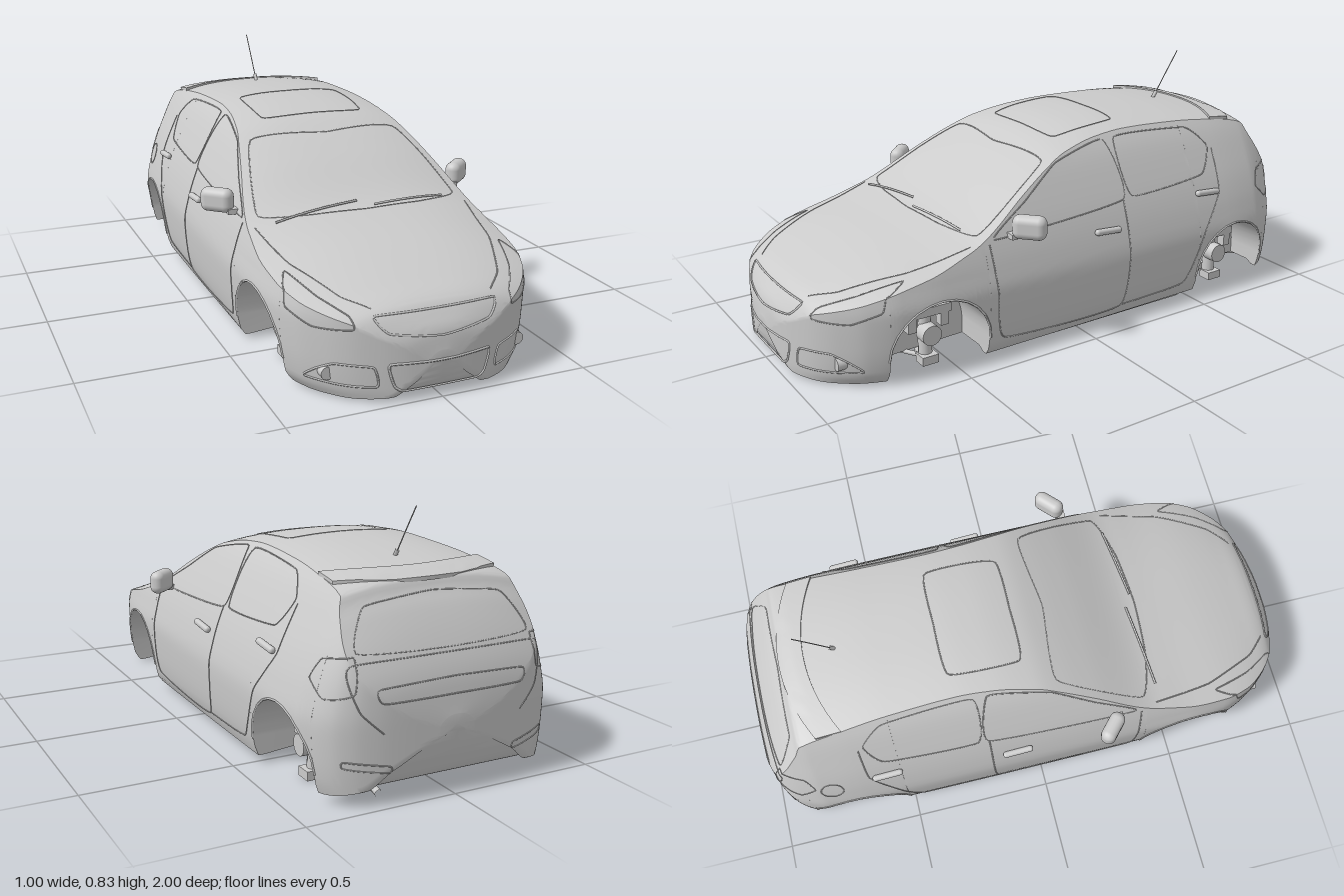
import * as THREE from 'three';
import { toCreasedNormals } from 'three/addons/utils/BufferGeometryUtils.js';
import { RoundedBoxGeometry } from 'three/addons/geometries/RoundedBoxGeometry.js';

const mat = new THREE.MeshStandardMaterial({ color: 0xcccccc });
const V = (x, y, z) => new THREE.Vector3(x, y, z);

// Monotone cubic through [t, value] pairs
function curve(pts) {
  const p = [...pts].sort((a, b) => a[0] - b[0]);
  const d = p.slice(1).map((q, i) => (q[1] - p[i][1]) / (q[0] - p[i][0]));
  const m = p.map((_, i) => i === 0 ? d[0] : i === d.length ? d[i - 1]
    : d[i - 1] * d[i] <= 0 ? 0 : 2 * d[i - 1] * d[i] / (d[i - 1] + d[i]));
  return (t) => {
    if (t <= p[0][0]) return p[0][1];
    if (t >= p[p.length - 1][0]) return p[p.length - 1][1];
    let i = 0;
    while (t > p[i + 1][0]) i++;
    const h = p[i + 1][0] - p[i][0], s = (t - p[i][0]) / h, s2 = s * s, s3 = s2 * s;
    return (2 * s3 - 3 * s2 + 1) * p[i][1] + (s3 - 2 * s2 + s) * h * m[i]
      + (3 * s2 - 2 * s3) * p[i + 1][1] + (s3 - s2) * h * m[i + 1];
  };
}

// Body rules: centreline height, underside, plan half-width, edge drop, and side taper by height
const top = curve([[1, .16], [.99, .215], [.97, .25], [.93, .295], [.85, .328], [.7, .375], [.5, .422], [.42, .445],
  [.2, .565], [.1, .615], [0, .655], [-.15, .683], [-.27, .69], [-.5, .682], [-.75, .655], [-.825, .638],
  [-.845, .605], [-.88, .56], [-.95, .44], [-.98, .365], [-1, .26]]);
const bottom = curve([[1, .12], [.99, .06], [.97, .02], [.9, .015], [.76, .015], [.38, .025], [-.5, .035],
  [-.88, .038], [-.96, .055], [-.985, .12], [-1, .2]]);
const plan = curve([[1, .05], [.99, .12], [.97, .19], [.93, .275], [.88, .335], [.8, .395], [.7, .43], [.55, .445],
  [0, .448], [-.65, .445], [-.8, .435], [-.87, .412], [-.92, .38], [-.955, .33], [-.98, .25], [-.99, .18], [-1, .06]]);
const drop = curve([[1, .03], [.9, .04], [.6, .05], [.45, .04], [.3, .035], [0, .025], [-.7, .025], [-.83, .03],
  [-.9, .045], [-1, .03]]);
const taper = curve([[.015, .9], [.05, .955], [.15, .99], [.25, 1], [.33, .965], [.42, .9], [.52, .8], [.62, .68],
  [.67, .59], [.7, .5]]);
const sideX = (z, y) => plan(z) * taper(y);
const edgeY = (z) => top(z) - drop(z);
const topY = (x, z) => {
  const s = Math.min(1, Math.abs(x) / sideX(z, edgeY(z)));
  return edgeY(z) + drop(z) * (1 - s ** 2.5);
};
const WHEELS = [.565, -.69], R = .175, HUB = .095;

// Closed cross-section at z: floor, wheel well, flank, roof, then mirrored
function section(z) {
  const wheel = WHEELS.find((c) => Math.abs(z - c) < R);
  const b = bottom(z), floor = b + .014;
  const low = wheel === undefined ? b : HUB + Math.sqrt(R * R - (z - wheel) ** 2);
  const outer = sideX(z, low), inner = wheel === undefined ? Math.max(0, outer - .02) : .255;
  const half = [[0, floor], [inner, floor], [inner, low]];
  const e = edgeY(z), xe = sideX(z, e);
  for (let i = 0; i <= 18; i++) {
    const y = low + (e - low) * i / 18;
    half.push([sideX(z, y), y]);
  }
  for (let i = 1; i <= 12; i++) {
    const x = xe * Math.cos(i / 12 * Math.PI / 2);
    half.push([i === 12 ? 0 : x, topY(x, z)]);
  }
  return [...half, ...half.slice(1, -1).reverse().map(([x, y]) => [-x, y])];
}

function bodyGeometry() {
  const zs = [];
  for (let i = 0; i <= 150; i++) zs.push(Math.cos(i / 150 * Math.PI));
  for (const c of WHEELS) {
    for (let i = 1; i < 28; i++) zs.push(c + R * Math.cos(i / 28 * Math.PI));
    for (const s of [-1, 1]) zs.push(c + s * (R - 1e-4), c + s * (R + 1e-4));
  }
  zs.sort((a, b) => b - a);
  const rings = zs.map((z) => section(z).map(([x, y]) => [x, y, z]));
  // Close nose and tail on a centre point
  rings.unshift(rings[0].map(() => [0, .14, 1]));
  rings.push(rings[0].map(() => [0, .23, -1]));
  const n = rings[0].length, index = [];
  for (let i = 0; i < rings.length - 1; i++) for (let j = 0; j < n; j++) {
    const a = i * n + j, b = i * n + (j + 1) % n, c = a + n, d = b + n;
    index.push(a, c, b, b, c, d);
  }
  const g = new THREE.BufferGeometry();
  g.setAttribute('position', new THREE.Float32BufferAttribute(rings.flat(2), 3));
  g.setIndex(index);
  return toCreasedNormals(g, .6);
}

// Projections of 2D outlines onto the body
const onSide = (s) => (z, y) => V(s * sideX(z, Math.min(y, edgeY(z))), y, z);
const onTop = (x, z) => V(x, topY(x, z), z);
const onEnd = (s) => (x, y) => {
  let a = .3, b = 1;
  for (let i = 0; i < 30; i++) {
    const m = (a + b) / 2, z = s * m;
    if (y < topY(x, z) && y > bottom(z) && Math.abs(x) < sideX(z, y)) a = m; else b = m;
  }
  return V(x, y, s * a);
};

export function createModel() {
  const car = new THREE.Group();
  car.name = 'car';
  const add = (name, geo, x = 0, y = 0, z = 0) => {
    const mesh = new THREE.Mesh(geo, mat);
    mesh.name = name;
    mesh.position.set(x, y, z);
    car.add(mesh);
    return mesh;
  };
  const tube = (name, pts, r, n = 40, sides = 8) =>
    add(name, new THREE.TubeGeometry(new THREE.CatmullRomCurve3(pts), n, r, sides, false));
  const box = (name, w, h, d, x, y, z) => add(name, new THREE.BoxGeometry(w, h, d), x, y, z);
  // Thin seam or trim line laid on the body
  const line = (name, pts, project, closed = true, r = .0022) => {
    const flat = new THREE.CatmullRomCurve3(pts.map(([a, b]) => V(a, b, 0)), closed, 'catmullrom', .2);
    const path = flat.getPoints(90).map((p) => project(p.x, p.y));
    if (closed) path.pop();
    add(name, new THREE.TubeGeometry(new THREE.CatmullRomCurve3(path, closed), 110, r, 4, closed));
  };
  const mirrored = (pts) => [...pts, ...[...pts].reverse().filter((p) => p[0] !== 0).map(([a, b]) => [-a, b])];

  add('body', bodyGeometry());

  // Front, rear and roof trim
  const front = onEnd(1), rear = onEnd(-1);
  line('grilleFrame', mirrored([[0, .275], [.2, .272], [.165, .225], [0, .205]]), front, true, .004);
  line('lowerIntakeFrame', mirrored([[0, .13], [.165, .13], [.15, .06], [.12, .042], [0, .04]]), front, true, .004);
  line('tailgateWindow', mirrored([[0, .6], [.24, .575], [.3, .46], [0, .45]]), rear);
  line('tailgateSeam', mirrored([[0, .22], [.24, .23], [.31, .3], [.32, .43]]).slice(1), rear, false);
  line('plateRecess', mirrored([[0, .37], [.25, .36], [.24, .32], [0, .32]]), rear);
  line('windscreen', mirrored([[0, .455], [.2, .44], [.36, .385], [.275, .08], [0, .1]]), onTop);
  line('sunroof', mirrored([[0, -.02], [.19, -.03], [.19, -.28], [0, -.29]]), onTop);

  // Rear spoiler lip bent around the tailgate
  const lip = new THREE.BoxGeometry(.58, .018, .09, 24, 1, 4), p = lip.attributes.position;
  for (let i = 0; i < p.count; i++) {
    const x = p.getX(i), z = p.getZ(i) - .793 + .9 * x * x;
    p.setXYZ(i, x, p.getY(i) * (z < -.8 ? .7 : 1) + topY(x * .9, Math.max(z, -.825)) - .004, z);
  }
  add('spoiler', toCreasedNormals(lip, .6));

  // Antenna and wipers
  tube('antenna', [V(0, .665, -.64), V(0, .75, -.695), V(0, .84, -.755)], .002, 4, 6);
  tube('antennaBase', [V(0, .66, -.635), V(0, .69, -.655)], .007, 2);
  for (const [a, b] of [[.03, .3], [-.32, -.02]])
    tube('wiper', Array.from({ length: 7 }, (_, i) => {
      const q = onTop(a + (b - a) * i / 6, .445 - .03 * i / 6);
      return q.setY(q.y + .006);
    }), .004, 16, 6);

  for (const s of [1, -1]) {
    const flip = (pts) => pts.map(([x, y]) => [s * x, y]), side = onSide(s);

    // Lamps
    line('headlight', flip([[.265, .24], [.36, .235], [.41, .27], [.405, .32], [.375, .345], [.33, .31], [.27, .275]]), front);
    line('fogLampFrame', flip([[.2, .06], [.21, .122], [.31, .127], [.35, .1], [.37, .065]]), front, true, .0035);
    const fog = front(s * .325, .093);
    add('fogLamp', new THREE.CylinderGeometry(.021, .021, .03, 24), fog.x, fog.y, fog.z - .008).rotation.x = Math.PI / 2;
    line('tailLight', flip([[.31, .45], [.37, .44], [.4, .38], [.39, .33], [.32, .35]]), rear);
    line('rearReflector', flip([[.22, .13], [.35, .15], [.35, .13], [.22, .11]]), rear);
    line('bonnetSeam', flip([[.385, .43], [.35, .65], [.27, .84], [.2, .915]]), onTop, false);

    // Doors and side windows
    line('frontWindow', [[.35, .42], [.2, .515], [.05, .605], [-.17, .645], [-.19, .45]], side);
    line('rearWindow', [[-.22, .645], [-.54, .632], [-.62, .56], [-.56, .47], [-.23, .455]], side);
    line('frontDoorSeam', [[.37, .41], [.36, .25], [.33, .08], [-.16, .07], [-.19, .45]], side, false);
    line('rearDoorSeam', [[-.16, .07], [-.45, .085], [-.54, .27], [-.63, .4], [-.64, .55]], side, false);
    for (const [z, y] of [[-.095, .365], [-.565, .41]]) {
      const h = add('doorHandle', new RoundedBoxGeometry(.022, .022, .11, 3, .01), s * (sideX(z, y) + .01), y, z);
      h.rotation.x = -.08;
    }
    for (const [i, z] of WHEELS.entries()) {
      line('archLip', Array.from({ length: 13 }, (_, k) => {
        const a = k / 12 * Math.PI;
        return [z + (R + .003) * Math.cos(a), HUB + (R + .003) * Math.sin(a)];
      }), side, false, .004);

      // Hub carrier, strut and lower arm
      add('strut', new THREE.CylinderGeometry(.02, .024, .23, 12), s * .31, .145, z);
      box('hubBracket', .035, .03, .17, s * .325, .195, z);
      for (const d of [-1, 1]) box('caliper', .035, .06, .03, s * .325, .165, z + d * .06);
      add('hub', new THREE.CylinderGeometry(.035, .035, .05, 20), s * .34, .12, z).rotation.z = Math.PI / 2;
      box('lowerMount', .05, .03, .06, s * .325, .025, z);
      const c = z + (i ? .14 : -.13);
      tube('lowerArm', [V(s * .33, .022, z), V(s * .26, .022, z), V(s * .17, .022, c)], .013, 16, 6);
      tube('trackRod', [V(s * .33, .03, z), V(s * .15, .025, z + (i ? -.1 : .1))], .009, 4, 6);
    }

    // Door mirror
    const m = add('mirror', new RoundedBoxGeometry(.115, .082, .055, 5, .026), s * .452, .458, .245);
    m.rotation.y = s * .75;
    box('mirrorStalk', .06, .018, .035, s * .4, .425, .28);

    // Underbody rails
    box('floorRail', .03, .012, .74, s * .2, .036, -.08);
    box('sillSkirt', .018, .014, .8, s * .39, .026, -.06);
  }
  line('fuelCap', Array.from({ length: 12 }, (_, k) =>
    [-.77 + .04 * Math.cos(k * Math.PI / 6), .365 + .04 * Math.sin(k * Math.PI / 6)]), onSide(-1));

  // Subframes and exhaust
  box('frontSubframe', .4, .016, .05, 0, .02, .43);
  box('frontCrossmember', .46, .016, .05, 0, .018, .68);
  box('rearCrossmember', .48, .022, .06, 0, .032, -.55);
  box('rearAxleBeam', .56, .026, .05, 0, .04, -.69);
  tube('exhaustPipe', [V(0, .03, .42), V(.02, .034, .1), V(.02, .036, -.4), V(.1, .036, -.55), V(.12, .038, -.78)], .013);
  const muffler = add('muffler', new THREE.CapsuleGeometry(.03, .2, 6, 16), .06, .045, -.84);
  muffler.rotation.z = Math.PI / 2;
  tube('tailpipe', [V(.16, .042, -.84), V(.22, .04, -.88), V(.23, .032, -.94)], .012, 16);
  return car;
}
